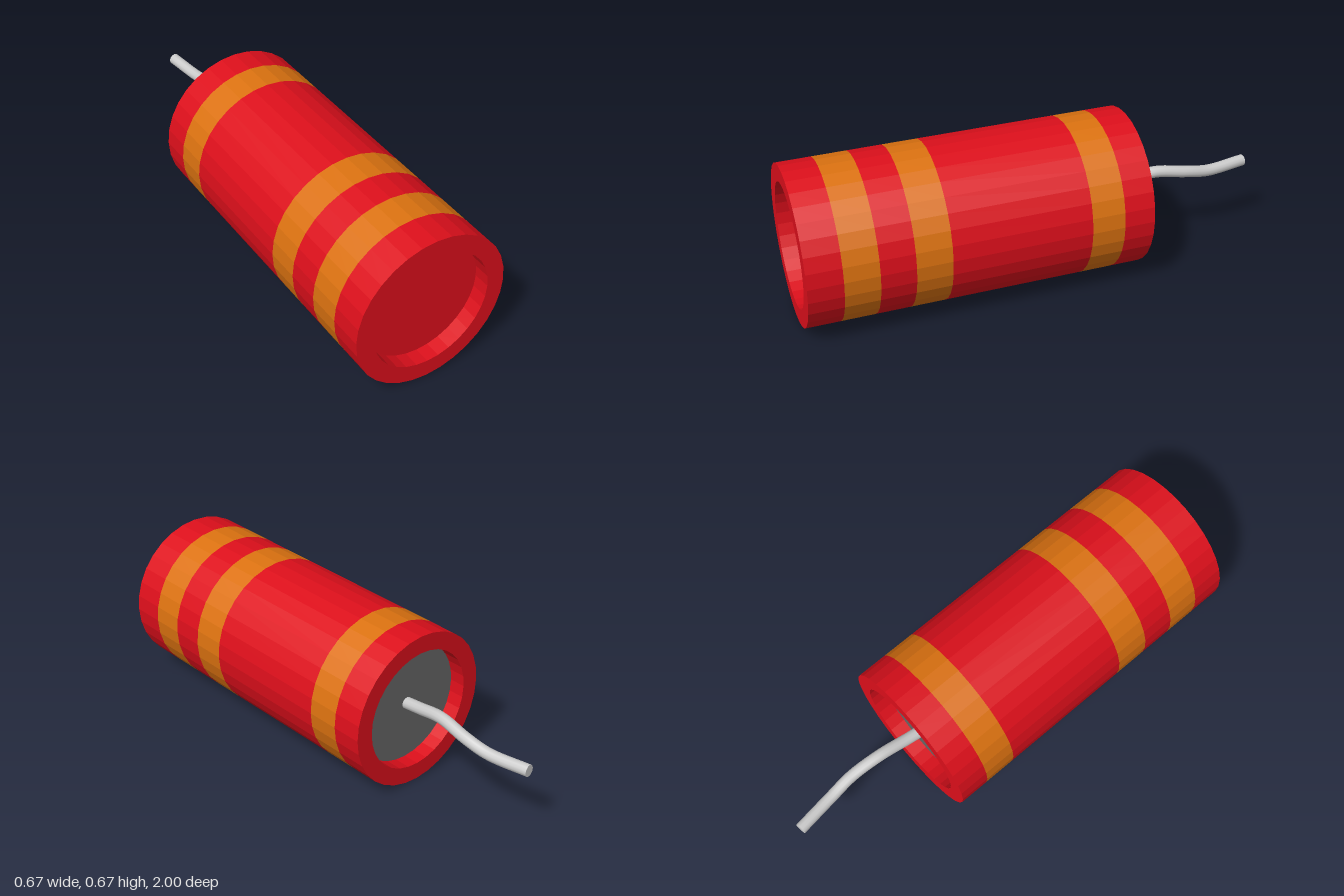
import * as THREE from 'three';

const SIDES = 32, R = 0.333, HOLE = 0.258, DEPTH = 0.07, CY = 0.333;
const FRONT = 1, BACK = -0.43;

export function createModel() {
  const model = new THREE.Group();
  const mat = (color, extra = {}) => new THREE.MeshStandardMaterial({ color, ...extra });
  const red = mat(0xdd0f1b, { flatShading: true });
  const orange = mat(0xdc7210, { flatShading: true });
  const redInside = mat(0xdd0f1b, { flatShading: true, side: THREE.BackSide });

  const add = (name, geometry, material, z, y = CY) => {
    const mesh = new THREE.Mesh(geometry, material);
    mesh.name = name;
    mesh.position.set(0, y, z);
    model.add(mesh);
    return mesh;
  };

  // open tube lying along z between two z positions
  const tube = (name, r, z0, z1, material) => {
    const g = new THREE.CylinderGeometry(r, r, z0 - z1, SIDES, 1, true).rotateX(Math.PI / 2);
    add(name, g, material, (z0 + z1) / 2);
  };

  // paper shell: alternating plain sections and painted bands
  const cuts = [FRONT, 0.857, 0.714, 0.571, 0.424, -0.16, -0.3, BACK];
  for (let i = 0; i < cuts.length - 1; i++) {
    tube(i % 2 ? 'stripe' : 'shell', R, cuts[i], cuts[i + 1], i % 2 ? orange : red);
  }

  // each end: flat rim, short inner wall and recessed cap
  const ends = [
    { label: 'front', z: FRONT, dir: 1, cap: red },
    { label: 'back', z: BACK, dir: -1, cap: mat(0x666666) },
  ];
  for (const { label, z, dir, cap } of ends) {
    const turn = dir > 0 ? 0 : Math.PI;
    const inner = z - dir * DEPTH;
    add(label + 'Rim', new THREE.RingGeometry(HOLE, R, SIDES).rotateY(turn), red, z);
    tube(label + 'InnerWall', HOLE, Math.max(z, inner), Math.min(z, inner), redInside);
    add(label + 'Cap', new THREE.CircleGeometry(HOLE, SIDES).rotateY(turn), cap, inner);
  }

  // wavy fuse with a closed tip
  const path = new THREE.CatmullRomCurve3([
    [-0.003, 0.33, -0.35], [0.005, 0.346, -0.44], [0.018, 0.369, -0.57],
    [0.03, 0.35, -0.71], [0.022, 0.33, -0.82], [-0.003, 0.334, -1],
  ].map(p => new THREE.Vector3(...p)));
  const grey = mat(0xcccccc);
  add('fuse', new THREE.TubeGeometry(path, 32, 0.025, 12), grey, 0, 0);
  const tip = add('fuseTip', new THREE.CircleGeometry(0.025, 12), grey, 0, 0);
  tip.position.copy(path.getPoint(1));
  tip.lookAt(path.getPoint(1).add(path.getTangent(1)));

  return model;
}
